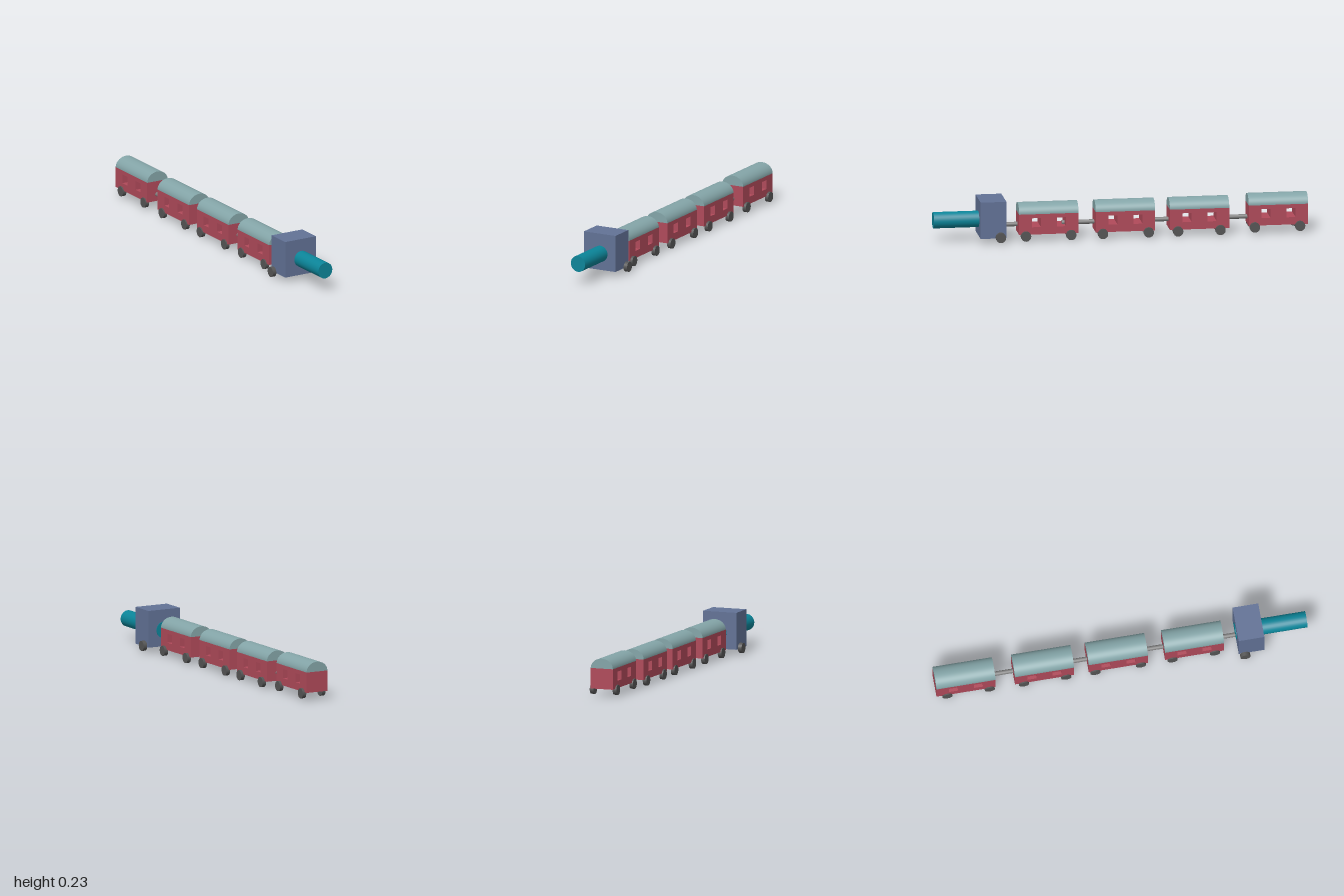
import * as THREE from 'three';

const paint = (color) => new THREE.MeshStandardMaterial({ color });
const RED = paint(0xb04a5a), ROOF = paint(0x84a5a8), CAB = paint(0x627296);
const TEAL = paint(0x0b8599), DARK = paint(0x555555), STEEL = paint(0x808080);

function add(parent, name, geometry, material, x = 0, y = 0, z = 0) {
  const mesh = new THREE.Mesh(geometry, material);
  mesh.name = name;
  mesh.position.set(x, y, z);
  parent.add(mesh);
  return mesh;
}

// Cylinder lying along z
const rodGeometry = (r, length, sides = 32) =>
  new THREE.CylinderGeometry(r, r, length, sides).rotateX(Math.PI / 2);

const wheelGeometry = new THREE.CylinderGeometry(0.027, 0.027, 0.021, 28).rotateZ(Math.PI / 2);

// Side wall outline with two windows, extruded across the carriage
const L = 0.318, W = 0.127, H = 0.11, ROOF_H = 0.053;
function rectangle(path, cx, cy, w, h) {
  path.moveTo(cx - w / 2, cy - h / 2);
  path.lineTo(cx + w / 2, cy - h / 2);
  path.lineTo(cx + w / 2, cy + h / 2);
  path.lineTo(cx - w / 2, cy + h / 2);
  path.closePath();
  return path;
}
const wall = rectangle(new THREE.Shape(), 0, H / 2, L, H);
for (const z of [-0.067, 0.067]) {
  wall.holes.push(rectangle(new THREE.Path(), z, 0.064, 0.049, 0.049));
}
const bodyGeometry = new THREE.ExtrudeGeometry(wall, { depth: W, bevelEnabled: false })
  .translate(0, 0, -W / 2)
  .rotateY(-Math.PI / 2);

// Half cylinder, flat side down
const roofGeometry = new THREE.CylinderGeometry(W / 2, W / 2, L, 32, 1, false, Math.PI / 2, Math.PI)
  .rotateX(Math.PI / 2)
  .scale(1, ROOF_H / (W / 2), 1);

function createCarriage({ z, y, front, rear }) {
  const car = new THREE.Group();
  car.name = 'carriage';
  car.position.set(-0.001, 0, z);
  add(car, 'carriageBody', bodyGeometry, RED, 0, y, 0);
  add(car, 'carriageRoof', roofGeometry, ROOF, 0, y + H, 0);
  // Each axle: [left wheel z, right wheel z]
  for (const [left, right] of [front, rear]) {
    add(car, 'carriageWheel', wheelGeometry, DARK, 0.066, y - 0.008, left);
    add(car, 'carriageWheel', wheelGeometry, DARK, -0.06, y - 0.008, right);
  }
  return car;
}

function createEngine() {
  const engine = new THREE.Group();
  engine.name = 'engine';
  add(engine, 'cab', new THREE.BoxGeometry(0.192, 0.198, 0.138), CAB, 0.001, 0.129, 0.689);
  add(engine, 'boiler', rodGeometry(0.0435, 0.383), TEAL, 0.005, 0.119, 0.8085);
  for (const side of [-1, 1]) {
    add(engine, 'engineWheel', wheelGeometry, DARK, side * 0.112, 0.037, 0.652);
  }
  return engine;
}

export function createModel() {
  const train = new THREE.Group();
  train.name = 'train';
  train.add(createEngine());

  const cars = [
    { z: 0.388, y: 0.037, front: [0.123, 0.109], rear: [-0.119, -0.119] },
    { z: -0.022, y: 0.037, front: [0.121, 0.121], rear: [-0.124, -0.124] },
    { z: -0.419, y: 0.037, front: [0.116, 0.116], rear: [-0.111, -0.111] },
    { z: -0.841, y: 0.045, front: [0.127, 0.127], rear: [-0.115, -0.101] },
  ];
  for (const car of cars) train.add(createCarriage(car));

  // Coupling rods, [front z, back z]
  for (const [a, b] of [[0.63, 0.53], [0.31, 0.12], [-0.16, -0.28], [-0.56, -0.7]]) {
    add(train, 'couplingRod', rodGeometry(0.012, a - b, 20), STEEL, -0.003, 0.082, (a + b) / 2);
  }
  return train;
}
